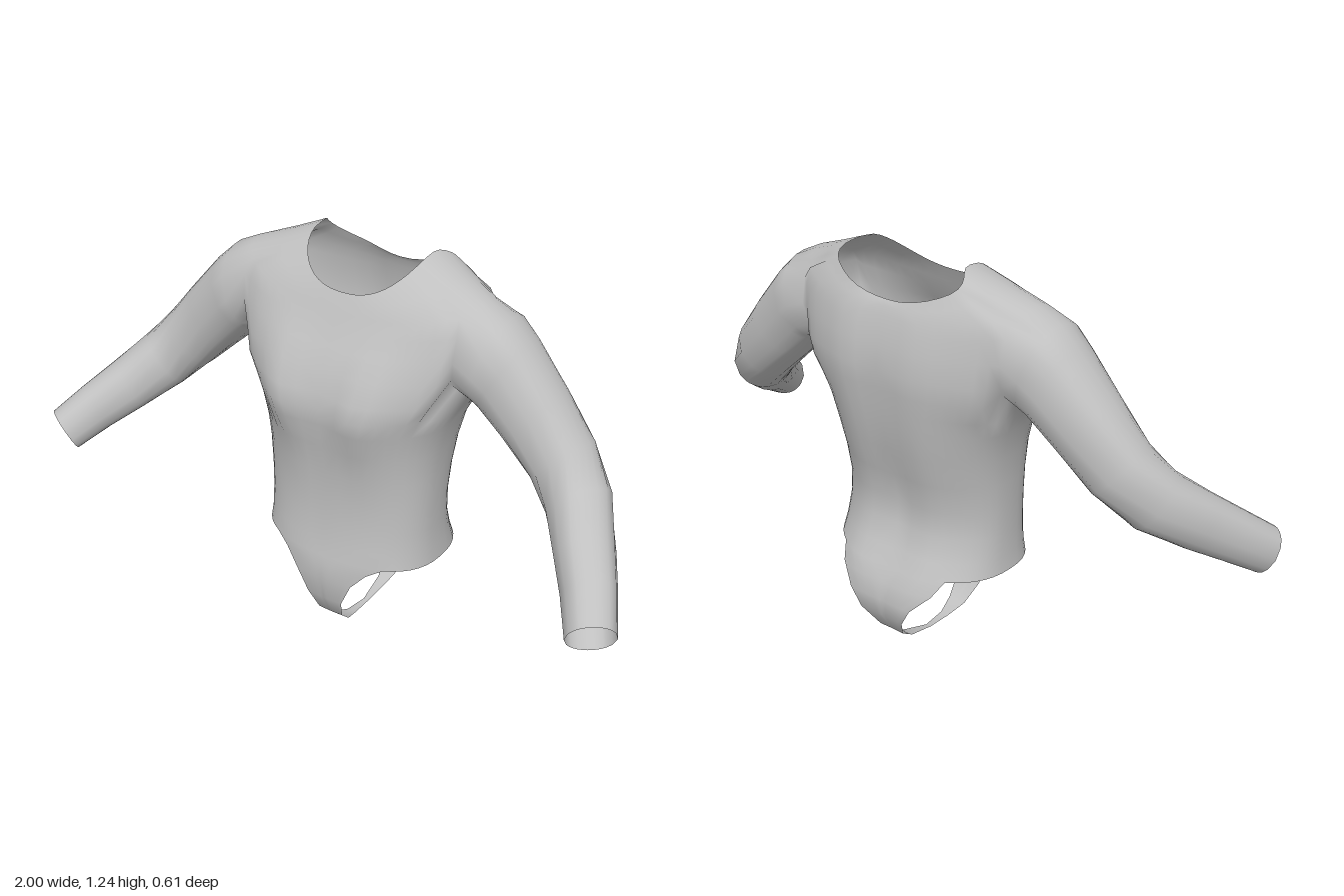
import * as THREE from 'three';

// Torso rings, hem to neckline:
// [half width, side y, side z, front y, front z, back y, back z, bust bump, back widening]
const RINGS = [
  [0.292, 0.31, -0.05, 0.31, 0.152, 0.31, -0.27, 0, 0],
  [0.286, 0.36, -0.05, 0.36, 0.143, 0.36, -0.242, 0, 0],
  [0.283, 0.43, -0.045, 0.43, 0.136, 0.43, -0.215, 0, 0],
  [0.284, 0.51, -0.045, 0.51, 0.134, 0.51, -0.212, 0, 0],
  [0.288, 0.6, -0.05, 0.6, 0.138, 0.6, -0.232, 0.005, 0],
  [0.297, 0.69, -0.06, 0.69, 0.15, 0.69, -0.258, 0.012, 0],
  [0.318, 0.78, -0.07, 0.77, 0.162, 0.78, -0.275, 0.03, 0],
  [0.345, 0.835, -0.08, 0.82, 0.167, 0.835, -0.283, 0.033, 0],
  [0.378, 0.885, -0.085, 0.87, 0.16, 0.89, -0.29, 0.03, 0],
  [0.395, 0.95, -0.085, 0.94, 0.143, 0.95, -0.296, 0.018, 0],
  [0.405, 1.03, -0.085, 1.0, 0.115, 1.02, -0.288, 0.008, 0],
  [0.41, 1.11, -0.085, 1.05, 0.09, 1.07, -0.277, 0, 0],
  [0.395, 1.17, -0.09, 1.09, 0.072, 1.1, -0.268, 0, 0],
  [0.285, 1.21, -0.105, 1.12, 0.058, 1.125, -0.26, 0, 0.12],
  [0.19, 1.248, -0.12, 1.14, 0.048, 1.14, -0.248, 0, 0.4],
];
// Sleeve rings, shoulder to cuff: [centre xyz, direction xyz, radius]
const SLEEVE = [
  [0.427, 1.005, -0.087, 0.95, -0.3, 0, 0.136],
  [0.467, 0.97, -0.086, 0.85, -0.5, 0, 0.125],
  [0.56, 0.875, -0.08, 0.7, -0.7, 0.05, 0.112],
  [0.66, 0.77, -0.068, 0.68, -0.68, 0.2, 0.102],
  [0.742, 0.685, -0.02, 0.6, -0.58, 0.5, 0.095],
  [0.82, 0.607, 0.08, 0.52, -0.48, 0.7, 0.085],
  [0.882, 0.547, 0.165, 0.5, -0.45, 0.72, 0.077],
  [0.94, 0.483, 0.255, 0.5, -0.45, 0.72, 0.07],
];
// Crotch strap, front to back: [y, z, half width]
const STRAP = [
  [0.28, 0.157, 0.145], [0.23, 0.16, 0.1], [0.15, 0.148, 0.062], [0.08, 0.115, 0.044],
  [0.03, 0.06, 0.03], [0.009, 0, 0.015], [0.004, -0.08, 0.009], [0.03, -0.18, 0.02],
  [0.08, -0.25, 0.045], [0.15, -0.295, 0.08], [0.21, -0.305, 0.115], [0.265, -0.292, 0.17],
];
const N = 24, SIDE = 12, K = 4, HOLE0 = 8, HOLE1 = 12, STRIP = 5;

function buildHalf() {
  const pos = [];
  const parts = { torso: [], sleeve: [], crotchStrap: [] };
  const add = (x, y, z) => pos.push(x, y, z) / 3 - 1;
  const quad = (list, a, b, c, d) => list.push(a, b, c, c, b, d);
  const at = (i, j) => i * (N + 1) + j;

  // Torso points, from centre back round the side to centre front
  for (const [w, yS, zS, yF, zF, yB, zB, bump, widen] of RINGS) {
    for (let j = 0; j <= N; j++) {
      const t = (j / N - 0.5) * Math.PI;
      const s = Math.abs(Math.sin(t)), c = j % N ? Math.cos(t) : 0;
      const front = t > 0, e = 0.82;
      let x = w * Math.pow(c, e);
      if (!front) x *= 1 + widen * 4 * s * s * c * c;
      const y = yS + ((front ? yF : yB) - yS) * Math.pow(s, front ? 1.5 : 2);
      let z = zS + ((front ? zF : zB) - zS) * Math.pow(s, e);
      if (front) z += bump * Math.exp(-(((x - 0.135) / 0.075) ** 2));
      else z -= 0.012 * Math.exp(-(((x - 0.12) / 0.07) ** 2));
      add(x, y, z);
    }
  }
  for (let i = 0; i < RINGS.length - 1; i++) {
    for (let j = 0; j < N; j++) {
      const hole = i >= HOLE0 && i < HOLE1 && j >= SIDE - K && j < SIDE + K;
      if (!hole) quad(parts.torso, at(i, j), at(i + 1, j), at(i, j + 1), at(i + 1, j + 1));
    }
  }

  // Armhole edge, rounded into an ellipse
  let loop = [];
  for (let j = SIDE - K; j < SIDE + K; j++) loop.push(at(HOLE0, j));
  for (let i = HOLE0; i < HOLE1; i++) loop.push(at(i, SIDE + K));
  for (let j = SIDE + K; j > SIDE - K; j--) loop.push(at(HOLE1, j));
  for (let i = HOLE1; i > HOLE0; i--) loop.push(at(i, SIDE - K));
  const angles = loop.map((v) => {
    const a = Math.atan2((pos[v * 3 + 1] - 1.03) / 0.14, (pos[v * 3 + 2] + 0.087) / 0.125);
    pos[v * 3 + 1] = 1.03 + 0.14 * Math.sin(a);
    pos[v * 3 + 2] = -0.087 + 0.125 * Math.cos(a);
    return a;
  });

  // Sleeve rings continue from the armhole
  for (const [x, y, z, dx, dy, dz, r] of SLEEVE) {
    const dir = new THREE.Vector3(dx, dy, dz).normalize();
    const up = new THREE.Vector3(0, 1, 0).addScaledVector(dir, -dir.y).normalize();
    const across = dir.clone().cross(up);
    const ring = angles.map((a) => {
      const p = new THREE.Vector3(x, y, z)
        .addScaledVector(up, r * Math.sin(a)).addScaledVector(across, r * Math.cos(a));
      return add(p.x, p.y, p.z);
    });
    loop.forEach((v, k) => {
      const n = (k + 1) % loop.length;
      quad(parts.sleeve, v, ring[k], loop[n], ring[n]);
    });
    loop = ring;
  }

  // Strap from the front hem, under the body, to the back hem
  const strip = [...Array(STRIP + 1).keys()];
  const rows = [strip.map((m) => at(0, N - STRIP + m))];
  for (const [y, z, w] of STRAP) {
    rows.push(strip.map((m) => {
      const x = w * (1 - m / STRIP);
      const bend = z > 0 ? -x * x : x * x - 0.012 * Math.exp(-(((x - 0.12) / 0.07) ** 2));
      return add(x, y, z + bend);
    }));
  }
  rows.push(strip.map((m) => at(0, STRIP - m)));
  for (let q = 0; q < rows.length - 1; q++) {
    for (let m = 0; m < STRIP; m++) {
      quad(parts.crotchStrap, rows[q][m], rows[q][m + 1], rows[q + 1][m], rows[q + 1][m + 1]);
    }
  }

  // Shared smooth normals, kept flat across the centre line
  const whole = new THREE.BufferGeometry();
  whole.setAttribute('position', new THREE.Float32BufferAttribute(pos, 3));
  whole.setIndex(Object.values(parts).flat());
  whole.computeVertexNormals();
  const p = whole.attributes.position, n = whole.attributes.normal;
  for (let i = 0; i < p.count; i++) if (Math.abs(p.getX(i)) < 1e-5) n.setX(i, 0);
  whole.normalizeNormals();
  return { whole, parts };
}

export function createModel() {
  const fabric = new THREE.MeshStandardMaterial({ color: 0xc0c0c0, side: THREE.DoubleSide });
  fabric.name = 'grey fabric';
  const model = new THREE.Group();
  model.name = 'bodysuit';
  const { whole, parts } = buildHalf();
  for (const side of [1, -1]) {
    const half = new THREE.Group();
    half.name = side > 0 ? 'leftHalf' : 'rightHalf';
    for (const [name, index] of Object.entries(parts)) {
      const g = whole.clone();
      const order = index.slice();
      if (side < 0) {
        g.scale(-1, 1, 1);
        order.reverse();
      }
      g.setIndex(order);
      const mesh = new THREE.Mesh(g.toNonIndexed(), fabric);
      mesh.name = name;
      half.add(mesh);
    }
    model.add(half);
  }
  return model;
}
